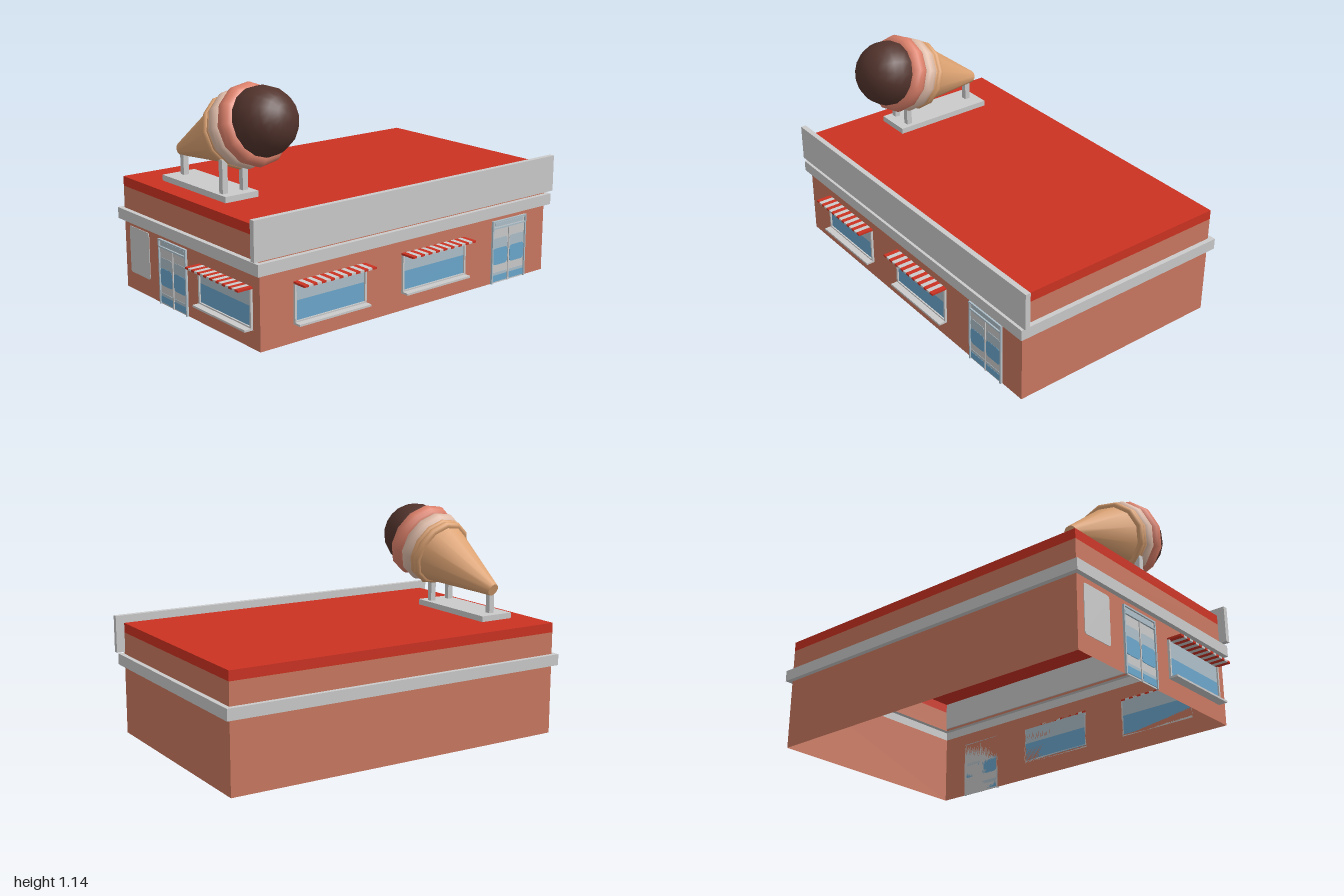
import * as THREE from 'three';

const mat = (name, color, side = THREE.FrontSide) => {
  const m = new THREE.MeshStandardMaterial({ color, side });
  m.name = name;
  return m;
};

export function createModel() {
  const wallMat = mat('terracotta', 0xc97860, THREE.DoubleSide);
  const redMat = mat('red', 0xcc3222, THREE.DoubleSide);
  const greyMat = mat('light grey', 0xcacaca, THREE.DoubleSide);
  const blueMat = mat('glass blue', 0x6ba6cb);
  const paleMat = mat('pale glass', 0xadbfc9);
  const waferMat = mat('wafer', 0xdca272);
  const creamMat = mat('vanilla', 0xdebba8);
  const pinkMat = mat('strawberry', 0xdb806a);
  const chocMat = mat('chocolate', 0x52332c);

  const root = new THREE.Group();
  root.name = 'iceCreamShop';

  const add = (parent, name, geo, material) => {
    const m = new THREE.Mesh(geo, material);
    m.name = name;
    parent.add(m);
    return m;
  };
  // Box given by its limits
  const box = (parent, name, material, x0, x1, y0, y1, z0, z1) => {
    const m = add(parent, name, new THREE.BoxGeometry(x1 - x0, y1 - y0, z1 - z0), material);
    m.position.set((x0 + x1) / 2, (y0 + y1) / 2, (z0 + z1) / 2);
    return m;
  };
  // Thin plate with rounded corners
  const roundPlate = (parent, name, material, x0, x1, y0, y1, z0, z1, r) => {
    const s = new THREE.Shape();
    s.moveTo(x0 + r, y0);
    s.lineTo(x1 - r, y0); s.quadraticCurveTo(x1, y0, x1, y0 + r);
    s.lineTo(x1, y1 - r); s.quadraticCurveTo(x1, y1, x1 - r, y1);
    s.lineTo(x0 + r, y1); s.quadraticCurveTo(x0, y1, x0, y1 - r);
    s.lineTo(x0, y0 + r); s.quadraticCurveTo(x0, y0, x0 + r, y0);
    const g = new THREE.ExtrudeGeometry(s, { depth: z1 - z0, bevelEnabled: false, curveSegments: 4 });
    g.translate(0, 0, z0);
    return add(parent, name, g, material);
  };

  // Building shell: rectangular rings [height, outset], open below
  const X0 = -0.62, X1 = 0.56, Z0 = -0.955, Z1 = 0.918;
  const ring = ([y, o]) => [
    [X0 - o, y, Z1 + o], [X1 + o, y, Z1 + o], [X1 + o, y, Z0 - o], [X0 - o, y, Z0 - o],
  ];
  const shell = (name, material, levels) => {
    const pos = [];
    for (let i = 0; i + 1 < levels.length; i++) {
      const a = ring(levels[i]), b = ring(levels[i + 1]);
      for (let k = 0; k < 4; k++) {
        const n = (k + 1) % 4;
        pos.push(...a[k], ...a[n], ...b[n], ...a[k], ...b[n], ...b[k]);
      }
    }
    const g = new THREE.BufferGeometry();
    g.setAttribute('position', new THREE.Float32BufferAttribute(pos, 3));
    g.computeVertexNormals();
    add(root, name, g, material);
  };
  shell('lowerWalls', wallMat, [[0, 0], [0.367, 0]]);
  shell('cornice', greyMat, [[0.367, 0], [0.367, 0.025], [0.425, 0.025], [0.425, 0]]);
  shell('upperWalls', wallMat, [[0.425, 0], [0.54, 0]]);
  shell('roofEdge', redMat, [[0.54, 0], [0.59, 0]]);
  const roof = add(root, 'roof', new THREE.PlaneGeometry(X1 - X0, Z1 - Z0).rotateX(-Math.PI / 2), redMat);
  roof.position.set((X0 + X1) / 2, 0.59, (Z0 + Z1) / 2);
  box(root, 'sideFascia', greyMat, 0.552, 0.58, 0.437, 0.63, -1, 0.96);

  // Facades: local x along the wall, local z outwards
  const front = new THREE.Group();
  front.name = 'frontFacade';
  front.position.z = Z1;
  const side = new THREE.Group();
  side.name = 'sideFacade';
  side.position.x = X1;
  side.rotation.y = Math.PI / 2;
  root.add(front, side);

  const addWindow = (facade, x0, x1, reach) => {
    const w = new THREE.Group();
    w.name = 'window';
    facade.add(w);
    box(w, 'lowerGlass', blueMat, x0 + 0.01, x1 - 0.01, 0.1, 0.203, 0, 0.004);
    box(w, 'upperGlass', paleMat, x0 + 0.01, x1 - 0.01, 0.203, 0.288, 0, 0.004);
    for (const x of [x0, x1 - 0.01]) box(w, 'frameSide', greyMat, x, x + 0.01, 0.1, 0.288, 0, 0.012);
    box(w, 'frameBottom', greyMat, x0, x1, 0.1, 0.107, 0, 0.012);
    box(w, 'sill', greyMat, x0, x1, 0.09, 0.1, 0, 0.047);
    // Striped awning
    const n = 17, s = (x1 - x0) / n;
    for (let i = 0; i < n; i++)
      box(w, 'awningStripe', i % 2 ? greyMat : redMat, x0 + i * s, x0 + (i + 1) * s, 0.287, 0.297, 0, reach);
  };
  addWindow(front, 0.072, 0.505, 0.08);
  addWindow(side, -0.73, -0.3, 0.083);
  addWindow(side, -0.067, 0.363, 0.083);

  const addDoor = (facade, x0, x1) => {
    const d = new THREE.Group();
    d.name = 'door';
    facade.add(d);
    const mid = (x0 + x1) / 2;
    box(d, 'panel', greyMat, x0, x1, 0, 0.34, 0, 0.004);
    for (const x of [x0, x1 - 0.008]) box(d, 'frameSide', paleMat, x, x + 0.008, 0, 0.34, 0, 0.012);
    box(d, 'frameTop', paleMat, x0, x1, 0.332, 0.34, 0, 0.012);
    box(d, 'transomBar', paleMat, x0, x1, 0.296, 0.304, 0, 0.012);
    box(d, 'transomGlass', paleMat, x0 + 0.02, x1 - 0.02, 0.308, 0.328, 0, 0.006);
    box(d, 'middleBar', greyMat, mid - 0.004, mid + 0.004, 0, 0.296, 0, 0.009);
    for (const [a, b] of [[x0 + 0.01, mid - 0.008], [mid + 0.008, x1 - 0.01]]) {
      roundPlate(d, 'upperReflection', paleMat, a, b, 0.17, 0.245, 0, 0.006, 0.02);
      roundPlate(d, 'glass', blueMat, a, b, 0.1, 0.19, 0, 0.007, 0.02);
      box(d, 'lowerReflection', paleMat, a, b, 0.04, 0.058, 0, 0.006);
      box(d, 'lowerGlass', blueMat, a, b, 0.008, 0.043, 0, 0.007);
    }
  };
  addDoor(front, -0.285, -0.035);
  addDoor(side, 0.56, 0.81);
  roundPlate(front, 'noticeBoard', greyMat, -0.572, -0.385, 0.093, 0.34, -0.003, 0.003, 0.015);

  // Roof stand
  box(root, 'standBase', greyMat, -0.415, 0.145, 0.588, 0.62, 0.62, 0.81);
  for (const [x, z, top] of [[-0.355, 0.716, 0.745], [0.08, 0.776, 0.785], [0.08, 0.66, 0.8]])
    box(root, 'standPost', greyMat, x - 0.015, x + 0.015, 0.62, top, z - 0.015, z + 0.015);

  // Giant ice cream, modelled upright then laid along its axis
  const cone = new THREE.Group();
  cone.name = 'iceCream';
  cone.position.set(-0.385, 0.745, 0.712);
  cone.quaternion.setFromUnitVectors(
    new THREE.Vector3(0, 1, 0), new THREE.Vector3(0.595, 0.225, -0.075).normalize());
  root.add(cone);
  const lathe = (name, material, pts, sides) =>
    add(cone, name, new THREE.LatheGeometry(pts.map(([r, y]) => new THREE.Vector2(r, y)), sides), material);
  lathe('waferTip', waferMat, [[0, 0], [0.033, 0]], 12);
  lathe('waferCone', waferMat, [[0.033, 0], [0.165, 0.42]], 12);
  const roll = (name, material, y, r, h, t) => {
    const pts = [];
    for (let i = 0; i <= 8; i++) {
      const a = -Math.PI / 2 + (i / 8) * Math.PI;
      pts.push([r - t + t * Math.cos(a), y + h * Math.sin(a)]);
    }
    pts.unshift([0.05, y - h]);
    pts.push([0.05, y + h]);
    lathe(name, material, pts, 12);
  };
  roll('waferRim', waferMat, 0.425, 0.187, 0.02, 0.02);
  roll('waferLip', waferMat, 0.455, 0.185, 0.018, 0.02);
  roll('vanillaLayer', creamMat, 0.497, 0.199, 0.047, 0.045);
  roll('strawberryLayer', pinkMat, 0.578, 0.206, 0.05, 0.05);
  const scoop = add(cone, 'chocolateScoop', new THREE.SphereGeometry(0.172, 16, 12), chocMat);
  scoop.position.y = 0.642;

  return root;
}
